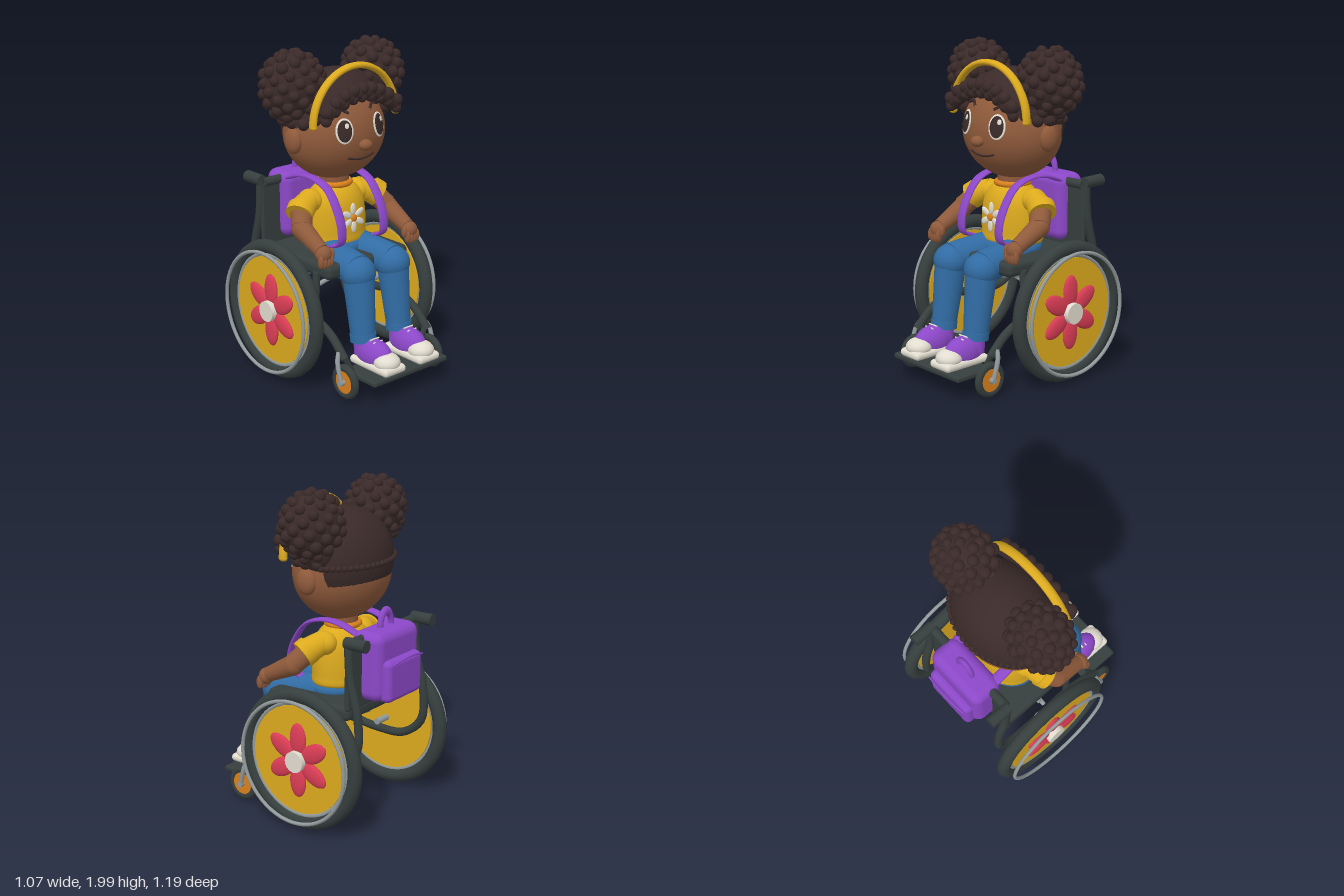
import * as THREE from 'three';
import { mergeGeometries } from 'three/addons/utils/BufferGeometryUtils.js';
import { RoundedBoxGeometry } from 'three/addons/geometries/RoundedBoxGeometry.js';

const material = (name, color) => new THREE.MeshStandardMaterial({ name, color });
const V = (x, y, z) => new THREE.Vector3(x, y, z);

export function createModel() {
  const model = new THREE.Group();
  model.name = 'childInWheelchair';
  const skin = material('skin brown', 0x8f5a3b), hair = material('hair brown', 0x3a2a29);
  const yellow = material('yellow', 0xdcaa1e), purple = material('purple', 0x8c48c8);
  const blue = material('denim blue', 0x316ca4), dark = material('dark grey', 0x363e3e);
  const steel = material('steel grey', 0x929a9b), white = material('off white', 0xe2ddd0);
  const orange = material('orange', 0xd9801c), red = material('flower red', 0xdb3d55);
  hair.side = THREE.DoubleSide;

  // Helpers
  const add = (name, geo, mat, x = 0, y = 0, z = 0) => {
    const m = new THREE.Mesh(geo, mat);
    m.name = name;
    m.position.set(x, y, z);
    model.add(m);
    return m;
  };
  const ballGeo = (rx, ry, rz, w = 24, h = 14) => new THREE.SphereGeometry(1, w, h).scale(rx, ry, rz);
  const ball = (name, mat, [x, y, z], [rx, ry, rz]) => add(name, ballGeo(rx, ry, rz), mat, x, y, z);
  const box = (name, mat, [x, y, z], [w, h, d], r) => add(name, new RoundedBoxGeometry(w, h, d, 3, r), mat, x, y, z);
  const limb = (name, mat, a, b, ra, rb) => {
    const from = V(...a), to = V(...b), dir = to.clone().sub(from);
    const m = add(name, new THREE.CylinderGeometry(rb, ra, dir.length(), 36), mat);
    m.position.copy(from).lerp(to, 0.5);
    m.quaternion.setFromUnitVectors(V(0, 1, 0), dir.normalize());
    return m;
  };
  const tube = (name, mat, pts, r, n = 24) =>
    add(name, new THREE.TubeGeometry(new THREE.CatmullRomCurve3(pts.map(p => V(...p))), n, r, 10), mat);
  const ring = (name, mat, R, r, x, y, z, arc = Math.PI * 2) => add(name, new THREE.TorusGeometry(R, r, 12, 56, arc), mat, x, y, z);
  // Rounded bumps merged into one mesh: list of [x, y, z, radius]
  const bumps = (name, mat, list) => add(name, mergeGeometries(
    list.map(([x, y, z, r]) => ballGeo(r, r, r, 10, 8).translate(x, y, z))), mat);

  // Head and face
  const H = { y: 1.475, z: -0.11, rx: 0.328, ry: 0.287, rz: 0.268 };
  add('head', ballGeo(H.rx, H.ry, H.rz, 48, 32), skin, 0, H.y, H.z);
  const facePoint = (x, y, lift = 0) =>
    V(x, y, H.z + lift + H.rz * Math.sqrt(1 - (x / H.rx) ** 2 - ((y - H.y) / H.ry) ** 2));
  const onFace = (name, mat, x, y, r, lift) => {
    const p = facePoint(x, y);
    const n = V(x / H.rx ** 2, (y - H.y) / H.ry ** 2, (p.z - H.z) / H.rz ** 2).normalize();
    const m = add(name, ballGeo(...r), mat);
    m.position.copy(p).addScaledVector(n, lift);
    m.lookAt(m.position.clone().add(n));
  };
  const faceLine = (name, pts, r) => tube(name, hair, pts.map(([x, y]) => facePoint(x, y, 0.002).toArray()), r, 16);
  for (const s of [-1, 1]) {
    onFace('eyeWhite', white, s * 0.13, 1.53, [0.056, 0.075, 0.009], 0.002);
    onFace('pupil', hair, s * 0.13, 1.53, [0.045, 0.064, 0.008], 0.007);
    onFace('eyeHighlight', white, s * 0.13 + 0.014, 1.557, [0.014, 0.017, 0.004], 0.014);
    faceLine('eyebrow', [[s * 0.08, 1.625], [s * 0.13, 1.65], [s * 0.185, 1.635]], 0.009);
    ball('ear', skin, [s * 0.322, 1.462, -0.097], [0.043, 0.078, 0.065]);
  }
  ball('nose', skin, [0, 1.435, 0.168], [0.043, 0.033, 0.037]);
  faceLine('mouth', [[-0.1, 1.364], [-0.05, 1.35], [0, 1.345], [0.05, 1.35], [0.1, 1.364]], 0.006);

  // Hair cap: ellipsoid with a lower edge that depends on the direction
  const C = { y: 1.54, z: -0.115, rx: 0.342, ry: 0.31, rz: 0.272 };
  const hairEdge = a => {
    const front = THREE.MathUtils.smoothstep(a, 0.3, 1.3), back = THREE.MathUtils.smoothstep(a, 1.9, 2.05);
    return 1.69 - 0.15 * front - 0.14 * back;
  };
  const capPoint = (a, y, grow = 1) => {
    const t = Math.sqrt(1 - ((y - C.y) / C.ry) ** 2) * grow;
    return [C.rx * t * Math.sin(a), y, C.z + C.rz * t * Math.cos(a)];
  };
  const cap = new THREE.SphereGeometry(1, 72, 20);
  const { position, normal, uv } = cap.attributes;
  for (let i = 0; i < position.count; i++) {
    const a = (uv.getX(i) - 0.5) * Math.PI * 2;
    const t = (1 - uv.getY(i)) * Math.acos((hairEdge(Math.abs(a)) - C.y) / C.ry);
    const x = Math.sin(t) * Math.sin(a), y = Math.cos(t), z = Math.sin(t) * Math.cos(a);
    position.setXYZ(i, C.rx * x, C.ry * y, C.rz * z);
    normal.setXYZ(i, x / C.rx, y / C.ry, z / C.rz);
  }
  cap.normalizeNormals();
  add('hairCap', cap, hair, 0, C.y, C.z);

  // Small curls round the back, larger curls at the temples, and the fringe
  const curls = [];
  for (let i = 0; i <= 22; i++) curls.push([...capPoint(1.9 + i / 22 * (Math.PI * 2 - 3.8), 1.55), 0.018]);
  for (const s of [-1, 1]) for (const [a, y] of [[0.95, 1.6], [1.2, 1.57], [1.5, 1.57], [1.8, 1.57], [1.6, 1.64]])
    curls.push([...capPoint(s * a, y, 0.97), 0.036]);
  bumps('hairlineCurls', hair, curls);
  const fringe = (x, dy, z) => [x, 1.735 + dy - 1.45 * x * x, z];
  tube('fringe', hair, [-0.28, -0.14, 0, 0.14, 0.28].map(x => fringe(x, 0, 0.12)), 0.044);
  const fringeCurls = [];
  for (let i = -4; i <= 4; i++) {
    fringeCurls.push([...fringe(i * 0.067, 0.028, 0.14), 0.037]);
    fringeCurls.push([...fringe(i * 0.067, -0.022, 0.135), 0.032]);
  }
  bumps('fringeCurls', hair, fringeCurls);

  // Two curly buns and the headband
  for (const s of [-1, 1]) {
    const list = [], n = 72;
    for (let i = 0; i < n; i++) {
      const y = 1 - (i + 0.5) * 2 / n, r = Math.sqrt(1 - y * y), a = i * 2.39996 * s;
      list.push([s * 0.302 + 0.182 * r * Math.cos(a), 1.78 + 0.188 * y, -0.122 + 0.158 * r * Math.sin(a), 0.031 + 0.006 * ((i * 7) % 5) / 4]);
    }
    ball('bunCore', hair, [s * 0.302, 1.78, -0.122], [0.188, 0.193, 0.163]);
    ball('bunBase', hair, [s * 0.28, 1.64, -0.14], [0.085, 0.12, 0.11]);
    bumps('bunCurls', hair, list);
    ball('headbandTip', yellow, [s * 0.317, 1.572, 0.076], [0.019, 0.019, 0.028]);
  }
  ring('headband', yellow, 0.317, 0.019, 0, 1.57, 0.076, Math.PI).scale.z = 1.45;

  // Neck, shirt and hips
  limb('neck', skin, [0, 1.1, -0.115], [0, 1.24, -0.115], 0.09, 0.09);
  ring('collar', orange, 0.096, 0.018, 0, 1.155, -0.115).rotation.x = Math.PI / 2;
  const shirt = [[0, 0.79], [0.19, 0.8], [0.205, 0.86], [0.204, 0.95], [0.192, 1.04], [0.165, 1.1], [0.125, 1.14], [0.08, 1.155]];
  const profile = new THREE.SplineCurve(shirt.map(p => new THREE.Vector2(...p))).getPoints(24);
  add('shirt', new THREE.LatheGeometry(profile, 40), yellow, 0, 0, -0.113).scale.z = 0.81;
  ball('hips', blue, [0, 0.775, -0.1], [0.21, 0.085, 0.175]);
  for (let i = 0; i < 6; i++) {
    const a = i * Math.PI / 3;
    const petal = ball('shirtPetal', white, [-Math.sin(a) * 0.054, 0.965 + Math.cos(a) * 0.054, 0.063 - Math.cos(a) * 0.004], [0.02, 0.037, 0.009]);
    petal.rotation.z = a;
  }
  ball('shirtFlowerCentre', orange, [0, 0.965, 0.068], [0.023, 0.023, 0.012]);

  for (const s of [-1, 1]) {
    // Arm
    ball('shoulder', yellow, [s * 0.185, 1.07, -0.115], [0.075, 0.07, 0.08]);
    limb('sleeve', yellow, [s * 0.18, 1.08, -0.115], [s * 0.305, 1.035, -0.07], 0.068, 0.078);
    limb('sleeveCuff', yellow, [s * 0.275, 1.053, -0.083], [s * 0.315, 1.022, -0.06], 0.083, 0.083);
    limb('upperArm', skin, [s * 0.28, 1.04, -0.08], [s * 0.338, 0.96, -0.01], 0.065, 0.062);
    ball('elbow', skin, [s * 0.338, 0.955, -0.01], [0.062, 0.062, 0.062]);
    limb('forearm', skin, [s * 0.338, 0.955, -0.01], [s * 0.34, 0.865, 0.17], 0.062, 0.045);
    ball('hand', skin, [s * 0.34, 0.85, 0.19], [0.052, 0.05, 0.045]);
    for (let i = 0; i < 4; i++)
      ball('finger', skin, [s * (0.304 + i * 0.025), 0.815 + (i % 3 ? -0.006 : 0), 0.212], [0.0145, 0.04, 0.022]);
    ball('thumb', skin, [s * 0.288, 0.845, 0.2], [0.016, 0.035, 0.02]);

    // Leg
    limb('thigh', blue, [s * 0.105, 0.76, -0.1], [s * 0.137, 0.715, 0.26], 0.095, 0.1);
    ball('knee', blue, [s * 0.137, 0.708, 0.262], [0.106, 0.1, 0.102]);
    limb('shin', blue, [s * 0.137, 0.7, 0.262], [s * 0.143, 0.31, 0.315], 0.096, 0.073);
    limb('trouserCuff', blue, [s * 0.143, 0.345, 0.311], [s * 0.143, 0.3, 0.317], 0.079, 0.079);

    // Shoe
    box('sole', white, [s * 0.137, 0.192, 0.435], [0.17, 0.05, 0.325], 0.024);
    ball('toeCap', white, [s * 0.137, 0.225, 0.515], [0.08, 0.055, 0.078]);
    ball('shoeUpper', purple, [s * 0.137, 0.235, 0.405], [0.081, 0.1, 0.135]);
    limb('ankle', purple, [s * 0.14, 0.23, 0.335], [s * 0.143, 0.32, 0.318], 0.07, 0.062);
    for (const z of [0.405, 0.435]) {
      const y = 0.334 - (z - 0.405) * 0.3;
      limb('lace', white, [s * 0.137 - 0.035, y, z], [s * 0.137 + 0.035, y, z], 0.005, 0.005);
    }

    // Backpack strap: a flattened tube over the shoulder
    const strap = tube('strap', purple, [[0, 1.16, -0.34], [0, 1.2, -0.22], [0, 1.205, -0.1], [0, 1.165, 0.02],
      [0, 1.07, 0.1], [0, 0.95, 0.148], [0, 0.86, 0.14], [0, 0.825, 0.06]], 0.012, 50);
    strap.geometry.scale(2.8, 1, 1);
    strap.position.x = s * 0.165;
  }

  // Backpack
  box('backpack', purple, [0, 0.985, -0.42], [0.42, 0.41, 0.21], 0.06);
  box('backpackPocket', purple, [0, 0.905, -0.525], [0.34, 0.25, 0.09], 0.035);
  ring('backpackHandle', purple, 0.055, 0.018, 0, 1.19, -0.42, Math.PI).scale.y = 1.55;
  tube('pocketZip', purple, [[-0.15, 1.012, -0.578], [-0.07, 1.03, -0.588], [0, 1.035, -0.591], [0.07, 1.03, -0.588], [0.15, 1.012, -0.578]], 0.006);

  // Wheelchair seat, back and footplate
  box('seat', dark, [0, 0.72, -0.09], [0.64, 0.09, 0.6], 0.035);
  box('backrest', dark, [0, 0.95, -0.39], [0.68, 0.4, 0.03], 0.012);
  limb('backrestBar', dark, [-0.32, 1.145, -0.39], [0.32, 1.145, -0.39], 0.028, 0.028);
  box('footplate', dark, [0, 0.146, 0.447], [0.59, 0.036, 0.275], 0.014);
  for (const s of [-1, 1]) {
    limb('crossBrace', steel, [-0.32, 0.575 - s * 0.075, -0.1 + s * 0.02], [0.32, 0.575 + s * 0.075, -0.1 + s * 0.02], 0.014, 0.014);
    tube('sideFrame', dark, [[s * 0.335, 1.16, -0.4], [s * 0.335, 0.95, -0.415], [s * 0.335, 0.72, -0.47], [s * 0.335, 0.52, -0.46],
      [s * 0.335, 0.41, -0.33], [s * 0.335, 0.4, -0.12], [s * 0.335, 0.42, 0.1], [s * 0.335, 0.36, 0.25], [s * 0.335, 0.25, 0.37]], 0.026, 70);
    limb('seatPost', dark, [s * 0.33, 0.41, 0.1], [s * 0.32, 0.71, 0.1], 0.022, 0.022);
    limb('footplateHanger', dark, [s * 0.33, 0.27, 0.35], [s * 0.27, 0.15, 0.36], 0.018, 0.018);
    limb('pushHandle', dark, [s * 0.335, 1.16, -0.385], [s * 0.335, 1.16, -0.527], 0.034, 0.036);

    // Big wheel with a flower on its outer face
    const wheel = (name, mat, R, r, x, y = 0.437, z = -0.143) => {
      ring(name, mat, R, r, s * x, y, z).rotation.y = Math.PI / 2;
    };
    const axle = (name, mat, x0, x1, r, y = 0.437, z = -0.143) => limb(name, mat, [s * x0, y, z], [s * x1, y, z], r, r);
    wheel('tyre', dark, 0.386, 0.042, 0.44);
    wheel('wheelRim', steel, 0.343, 0.018, 0.445);
    wheel('pushRim', steel, 0.37, 0.011, 0.525);
    axle('wheelDisc', yellow, 0.425, 0.462, 0.33);
    for (let i = 0; i < 6; i++) {
      const a = i * Math.PI / 3;
      const petal = ball('wheelPetal', red, [s * 0.468, 0.437 + Math.cos(a) * 0.128, -0.143 + Math.sin(a) * 0.128], [0.022, 0.1, 0.057]);
      petal.rotation.x = a;
    }
    axle('wheelHub', white, 0.45, 0.512, 0.063);
    axle('wheelAxle', steel, 0.32, 0.44, 0.02);

    // Front caster
    wheel('casterTyre', dark, 0.083, 0.023, 0.34, 0.117, 0.383);
    axle('casterHub', orange, 0.323, 0.357, 0.069, 0.117, 0.383);
    axle('casterAxle', steel, 0.32, 0.385, 0.018, 0.117, 0.383);
    tube('casterFork', steel, [[s * 0.352, 0.29, 0.335], [s * 0.374, 0.24, 0.35], [s * 0.374, 0.117, 0.383]], 0.014);
  }
  return model;
}
